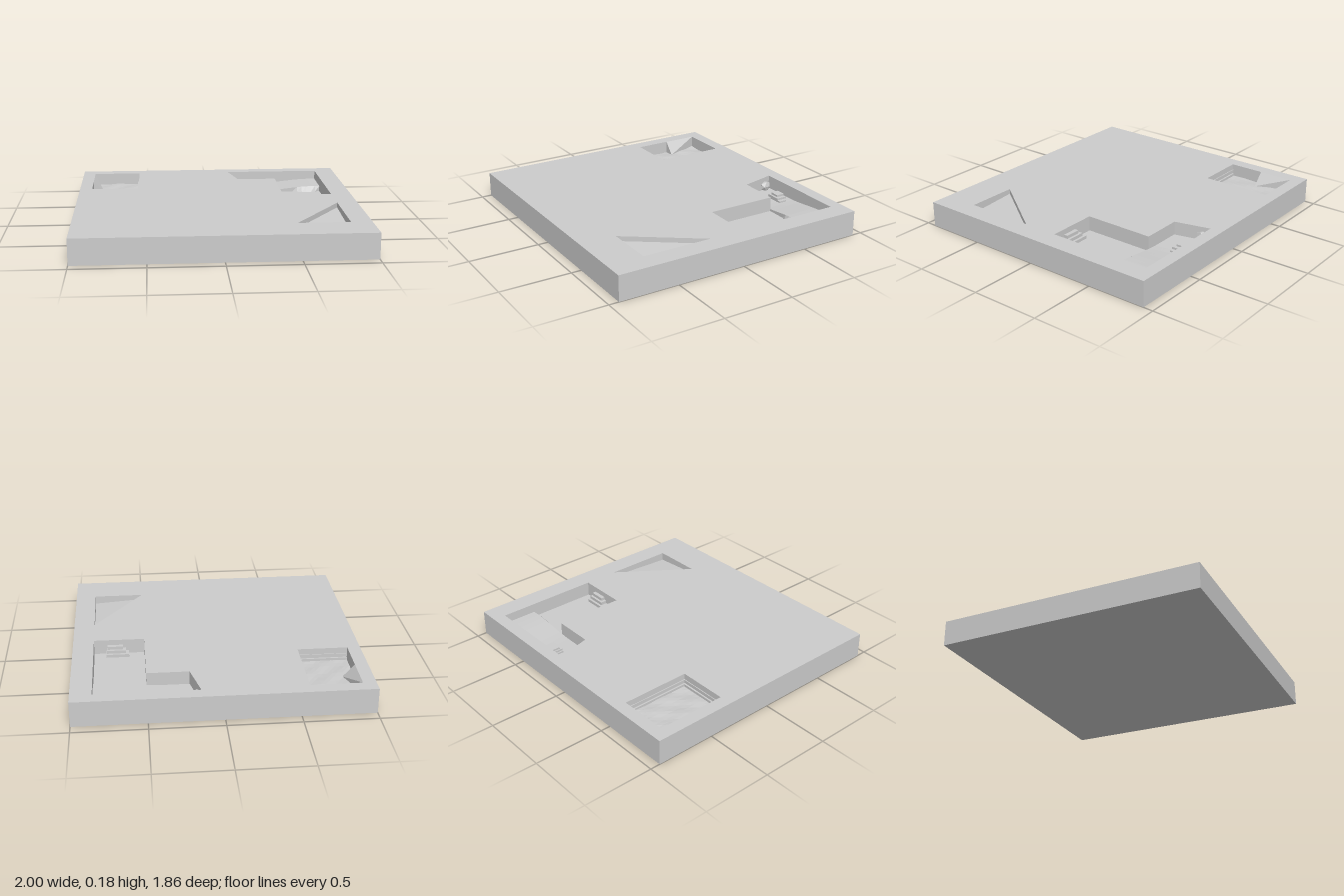
import * as THREE from 'three';

const TOP = 0.18;
const material = new THREE.MeshStandardMaterial({ color: 0xcccccc, flatShading: true, side: THREE.DoubleSide });

// Pit outlines as [x, z], and the height their walls reach down to
const pits = [
  { name: 'squarePit', base: 0.07, outline: [[-0.91, -0.84], [-0.56, -0.84], [-0.56, -0.34], [-0.91, -0.34]] },
  { name: 'cornerPit', base: 0.07, outline: [[0.15, -0.84], [0.855, -0.84], [0.855, -0.085], [0.5, -0.085], [0.5, -0.59], [0.21, -0.59]] },
  { name: 'trianglePit', base: 0.11, outline: [[0.855, 0.17], [0.855, 0.67], [0.5, 0.67]] },
];

function makeMesh(name, geometry) {
  const mesh = new THREE.Mesh(geometry, material);
  mesh.name = name;
  return mesh;
}

function fromPoints(points, index) {
  const g = new THREE.BufferGeometry();
  g.setAttribute('position', new THREE.Float32BufferAttribute(points.flat(), 3));
  g.setIndex(index);
  g.computeVertexNormals();
  return g;
}

// Gridded floor over a four-cornered area, with heights from a rule
function floorPatch([a, b, c, d], height, n) {
  const points = [], index = [];
  const mix = THREE.MathUtils.lerp;
  for (let j = 0; j <= n; j++) {
    for (let i = 0; i <= n; i++) {
      const u = i / n, v = j / n;
      const x = mix(mix(a[0], b[0], u), mix(d[0], c[0], u), v);
      const z = mix(mix(a[1], b[1], u), mix(d[1], c[1], u), v);
      points.push([x, height(x, z), z]);
      if (i < n && j < n) {
        const k = j * (n + 1) + i;
        index.push(k, k + n + 1, k + 1, k + 1, k + n + 1, k + n + 2);
      }
    }
  }
  return fromPoints(points, index);
}

function pitWalls({ outline, base }) {
  const points = [], index = [];
  outline.forEach((p, i) => {
    const q = outline[(i + 1) % outline.length], k = points.length;
    points.push([p[0], TOP, p[1]], [q[0], TOP, q[1]], [q[0], base, q[1]], [p[0], base, p[1]]);
    index.push(k, k + 2, k + 1, k, k + 3, k + 2);
  });
  return fromPoints(points, index);
}

function block(name, w, h, d, x, y, z) {
  const mesh = makeMesh(name, new THREE.BoxGeometry(w, h, d));
  mesh.position.set(x, y + h / 2, z);
  return mesh;
}

export function createModel() {
  const model = new THREE.Group();
  model.name = 'pittedSlab';

  // Slab sides and underside: a box without its top face
  const box = new THREE.BoxGeometry(2, TOP, 1.86).translate(0, TOP / 2, 0);
  const faces = Array.from(box.index.array);
  faces.splice(12, 6);
  box.setIndex(faces);
  box.clearGroups();
  model.add(makeMesh('slabBody', box));

  // Top surface with the pits cut out
  const points2 = (list) => list.map(([x, z]) => new THREE.Vector2(x, -z));
  const top = new THREE.Shape(points2([[-1, 0.93], [1, 0.93], [1, -0.93], [-1, -0.93]]));
  top.holes = pits.map((p) => new THREE.Path(points2(p.outline)));
  model.add(makeMesh('slabTop', new THREE.ShapeGeometry(top).rotateX(-Math.PI / 2).translate(0, TOP, 0)));

  const [square, corner, triangle] = pits.map((p) => {
    const group = new THREE.Group();
    group.name = p.name;
    group.add(makeMesh('pitWalls', pitWalls(p)));
    model.add(group);
    return group;
  });

  // Square pit: rough floor, sloping left bank, layered ledges
  const rough = (x, z) => 0.092 + 0.004 * Math.sin(31 * x + 9 * z) * Math.cos(23 * z) - 0.012 * (z + 0.59);
  square.add(makeMesh('roughFloor', floorPatch(pits[0].outline, rough, 10)));
  square.add(makeMesh('slopingBank', fromPoints(
    [[-0.91, TOP, -0.84], [-0.91, TOP, -0.59], [-0.83, 0.09, -0.59], [-0.91, 0.09, -0.84], [-0.91, 0.09, -0.59]],
    [0, 1, 2, 0, 2, 3, 1, 4, 2])));
  for (let i = 0; i < 2; i++) {
    const w = 0.006 * (2 - i), y = 0.085 + 0.03 * i;
    square.add(block('sideLedge', w, 0.022, 0.5, -0.56 - w / 2, y, -0.59));
    square.add(block('frontLedge', 0.35, 0.022, w, -0.735, y, -0.34 - w / 2));
  }

  // Corner pit: rear floor rising to one side, a step, and a flat front floor
  const rear = (x) => 0.085 + 0.03 * THREE.MathUtils.smoothstep(x, 0.4, 0.8);
  corner.add(makeMesh('rearFloor', floorPatch([[0.15, -0.84], [0.855, -0.84], [0.855, -0.59], [0.21, -0.59]], rear, 12)));
  corner.add(makeMesh('frontFloor', floorPatch([[0.5, -0.59], [0.855, -0.59], [0.855, -0.085], [0.5, -0.085]], () => 0.075, 1)));
  const lip = [], lipIndex = [];
  for (let i = 0; i <= 10; i++) {
    const x = 0.5 + 0.0355 * i;
    const bulge = 0.035 * Math.max(0, Math.sin((x - 0.65) / 0.205 * Math.PI));
    lip.push([x, rear(x), -0.59], [x, 0.075, -0.59 + bulge]);
    if (i < 10) lipIndex.push(2 * i, 2 * i + 1, 2 * i + 2, 2 * i + 2, 2 * i + 1, 2 * i + 3);
  }
  corner.add(makeMesh('floorStep', fromPoints(lip, lipIndex)));

  // Stepped rocks: stacked blocks, each smaller than the one below
  for (let i = 0; i < 3; i++) {
    corner.add(block('rearRock', 0.14 - 0.035 * i, 0.014, 0.06 + 0.018 * (i % 2), 0.37 - 0.008 * i, 0.084 + 0.014 * i, -0.75 - 0.008 * i));
    const d = 0.065 - 0.018 * i;
    corner.add(block('frontRock', 0.16 - 0.025 * i, 0.022, d, 0.69 + 0.008 * i, 0.075 + 0.022 * i, -0.085 - d / 2));
  }
  const wallRock = makeMesh('wallRock', new THREE.IcosahedronGeometry(0.045, 0));
  wallRock.scale.set(0.6, 0.9, 1);
  wallRock.position.set(0.175, 0.115, -0.79);
  corner.add(wallRock);

  // Triangle pit: shallow floor falling towards its square corner
  const [a, b, c] = pits[2].outline;
  triangle.add(makeMesh('triangleFloor', floorPatch([a, b, c, c], (x, z) => 0.145 - 0.05 * ((x - 0.5) / 0.355 + (z - 0.17) / 0.5 - 1) * 0.5, 4)));

  return model;
}
